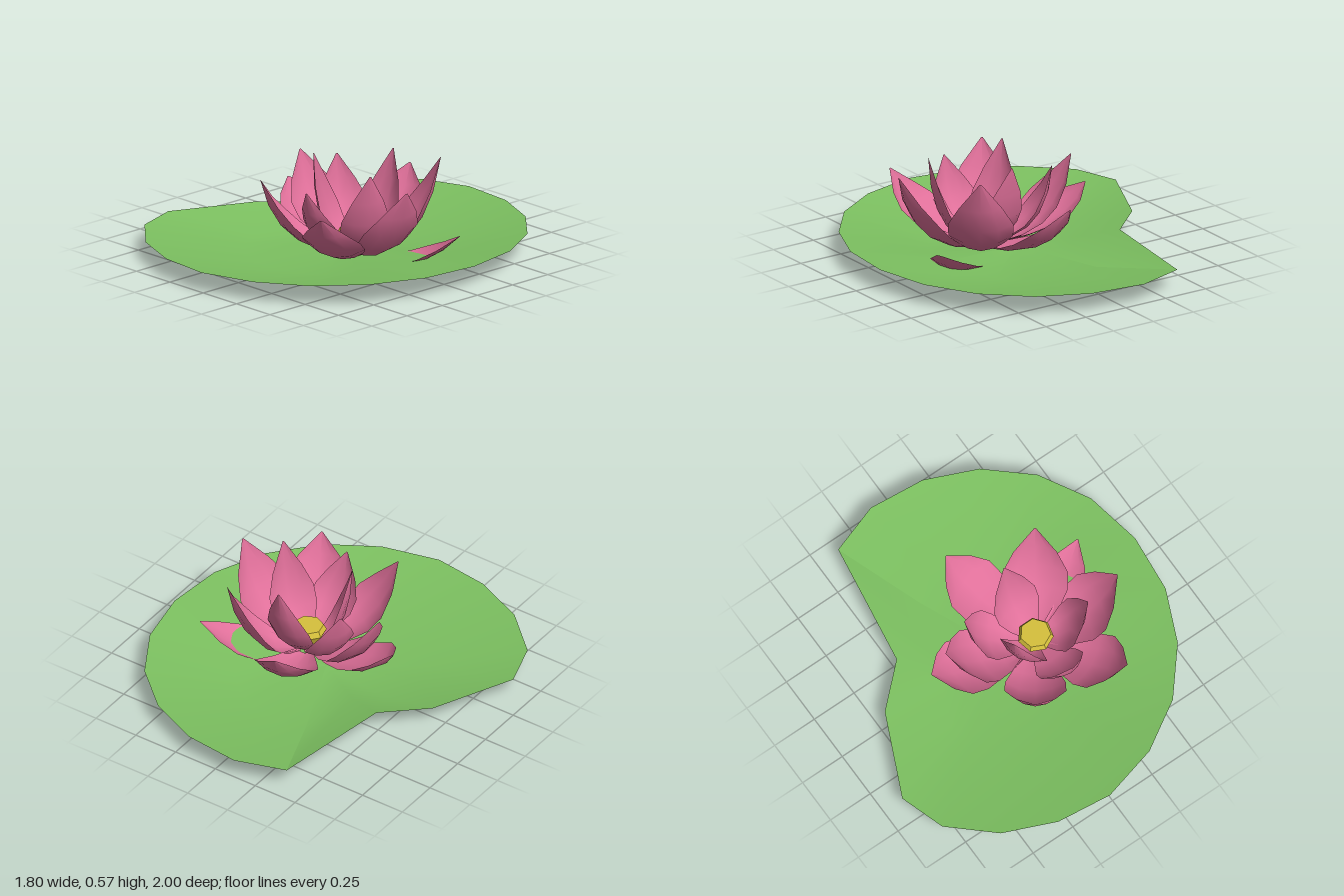
import * as THREE from 'three';

const std = (name, color) => {
  const m = new THREE.MeshStandardMaterial({ color, side: THREE.DoubleSide });
  m.name = name;
  return m;
};

// Builds an indexed surface from rows of equally many points
function surface(rows) {
  const n = rows[0].length;
  const index = [];
  for (let i = 0; i < rows.length - 1; i++) {
    for (let j = 0; j < n - 1; j++) {
      const a = i * n + j, b = a + 1, c = a + n, d = c + 1;
      index.push(a, c, b, b, c, d);
    }
  }
  const g = new THREE.BufferGeometry().setFromPoints(rows.flat());
  g.setIndex(index);
  g.computeVertexNormals();
  return g;
}

const CENTRE = new THREE.Vector3(0.165, 0, 0.075);

// Cupped petal that follows a curve from the flower's heart to its tip
function petal([x, y, z], halfWidth, reach, lowY, baseY, cup) {
  const tip = new THREE.Vector3(x, y, z);
  const flat = new THREE.Vector3(x, 0, z).sub(CENTRE);
  const at = (k, h) => CENTRE.clone().addScaledVector(flat, k).setY(h);
  const spine = new THREE.QuadraticBezierCurve3(at(0.12, baseY), at(reach, lowY), tip);
  const side = new THREE.Vector3(flat.z, 0, -flat.x).normalize();
  const widths = [0.3, 0.72, 0.98, 1, 0.66, 0.03];
  const rows = widths.map((w, i) => {
    const t = i / (widths.length - 1);
    const p = spine.getPoint(t);
    const inward = new THREE.Vector3().crossVectors(spine.getTangent(t), side);
    if (inward.y < 0) inward.negate();
    return [-1, -0.55, 0, 0.55, 1].map((u) => p.clone()
      .addScaledVector(side, u * w * halfWidth)
      .addScaledVector(inward, u * u * w * cup));
  });
  return surface(rows);
}

export function createModel() {
  const model = new THREE.Group();
  const green = std('leaf green', 0x7cc060);
  const pink = std('petal pink', 0xe0709a);
  const yellow = std('heart yellow', 0xd6c03c);
  const add = (name, geometry, material, parent = model) => {
    const mesh = new THREE.Mesh(geometry, material);
    mesh.name = name;
    parent.add(mesh);
    return mesh;
  };

  // Floating leaf: shallow dish with one notch
  const rim = [
    [-0.385, -0.91], [-0.485, -0.245], [-0.7, -0.045], [-0.9, 0.395], [-0.82, 0.64],
    [-0.595, 0.845], [-0.315, 0.965], [-0.015, 1], [0.29, 0.92], [0.55, 0.76],
    [0.75, 0.52], [0.87, 0.24], [0.9, -0.075], [0.84, -0.385], [0.69, -0.65],
    [0.465, -0.85], [0.19, -0.97], [-0.116, -1],
  ];
  const ring = (k, height) => [...rim, rim[0]].map(([x, z]) =>
    new THREE.Vector3(x * k, height(x, Math.hypot(x, z)), z * k));
  add('lilyPad', surface([
    ring(0, () => 0.045),
    ring(0.5, (x, r) => 0.024 + 0.042 * Math.max(0, x / r) ** 6),
    ring(1, (x) => 0.11 + 0.011 * x),
  ]), green);

  const flower = new THREE.Group();
  flower.name = 'flower';
  model.add(flower);

  // Outer petals: tip position and half width
  [
    [[-0.01, 0.38, -0.48], 0.16],
    [[0.42, 0.55, -0.29], 0.17],
    [[0.63, 0.5, 0.15], 0.17],
    [[0.41, 0.39, 0.55], 0.16],
    [[-0.12, 0.47, 0.48], 0.16],
    [[-0.43, 0.31, -0.01], 0.16],
    [[-0.34, 0.48, -0.01], 0.16],
  ].forEach(([tip, w]) =>
    add('outerPetal', petal(tip, w, 0.85, 0.09, 0.06, 0.06), pink, flower));

  // Low petal that dips through the leaf
  add('lowPetal', petal([0.64, 0.19, -0.22], 0.13, 0.6, -0.052, 0.02, 0.04), pink, flower);

  // Inner petals, steeper and narrower
  [
    [-0.04, 0.57, 0.18], [0.16, 0.56, -0.2], [0.41, 0.55, 0.2],
    [0.16, 0.45, 0.42], [-0.16, 0.48, -0.1],
  ].forEach((tip) =>
    add('innerPetal', petal(tip, 0.13, 0.95, 0.12, 0.08, 0.05), pink, flower));

  // Seven-sided heart
  const profile = [[0.03, 0.03], [0.095, 0.16], [0.08, 0.19], [0, 0.19]]
    .map(([r, y]) => new THREE.Vector2(r, y));
  const heart = new THREE.LatheGeometry(profile, 7).toNonIndexed();
  heart.computeVertexNormals();
  add('heart', heart, yellow, flower).position.copy(CENTRE);

  return model;
}
